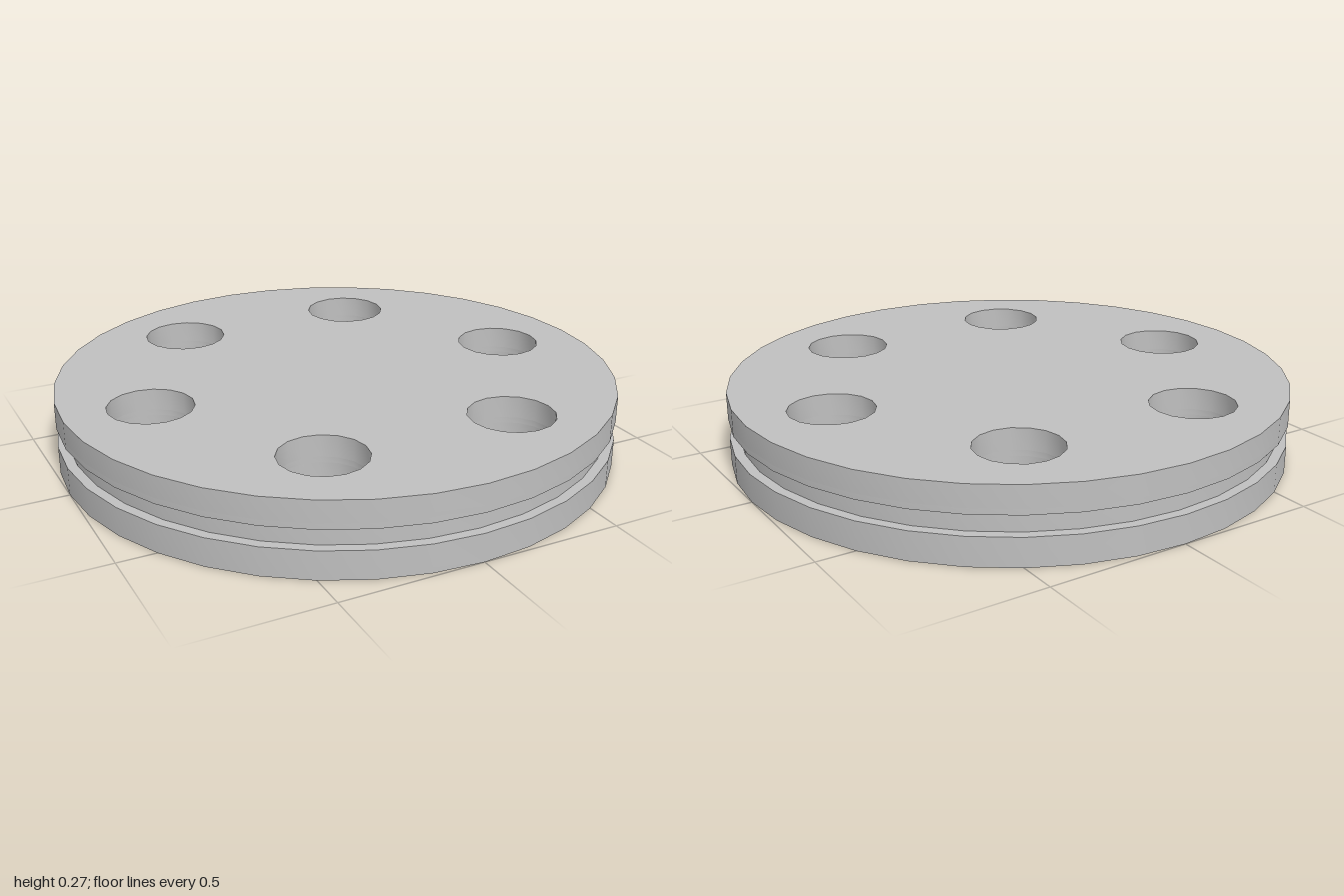
import * as THREE from 'three';
import { toCreasedNormals } from 'three/addons/utils/BufferGeometryUtils.js';

const HOLES = 6, HOLE_RING = 0.7, HOLE_R = 0.15, BORE_R = 0.36;

// Regular polygon outline that stands in for a circle
function ring(Type, cx, cy, r, sides) {
  const pts = [];
  for (let i = 0; i < sides; i++) {
    const a = (i / sides) * Math.PI * 2;
    pts.push(new THREE.Vector2(cx + r * Math.cos(a), cy + r * Math.sin(a)));
  }
  return new Type(pts);
}

// One drilled layer of the disc between heights y0 and y1
function layer(name, radius, y0, y1, hasBore, material) {
  const shape = ring(THREE.Shape, 0, 0, radius, 36);
  for (let i = 0; i < HOLES; i++) {
    const a = (i / HOLES) * Math.PI * 2;
    shape.holes.push(ring(THREE.Path, HOLE_RING * Math.cos(a), HOLE_RING * Math.sin(a), HOLE_R, 16));
  }
  if (hasBore) shape.holes.push(ring(THREE.Path, 0, 0, BORE_R, 32));
  const geo = new THREE.ExtrudeGeometry(shape, { depth: y1 - y0, bevelEnabled: false });
  geo.rotateX(-Math.PI / 2);
  geo.translate(0, y0, 0);
  const mesh = new THREE.Mesh(toCreasedNormals(geo, 0.6), material);
  mesh.name = name;
  return mesh;
}

export function createModel() {
  const group = new THREE.Group();
  group.name = 'groovedDisc';
  const metal = new THREE.MeshStandardMaterial({ color: 0xc0c0c0 });
  metal.name = 'greyMetal';

  group.add(
    layer('lowerFlange', 1, 0, 0.1, true, metal),
    layer('grooveCore', 0.965, 0.1, 0.17, true, metal),
    // the blind bore ends inside the upper flange
    layer('upperFlangeBored', 1, 0.17, 0.19, true, metal),
    layer('upperFlangeSolid', 1, 0.19, 0.267, false, metal),
  );
  return group;
}
